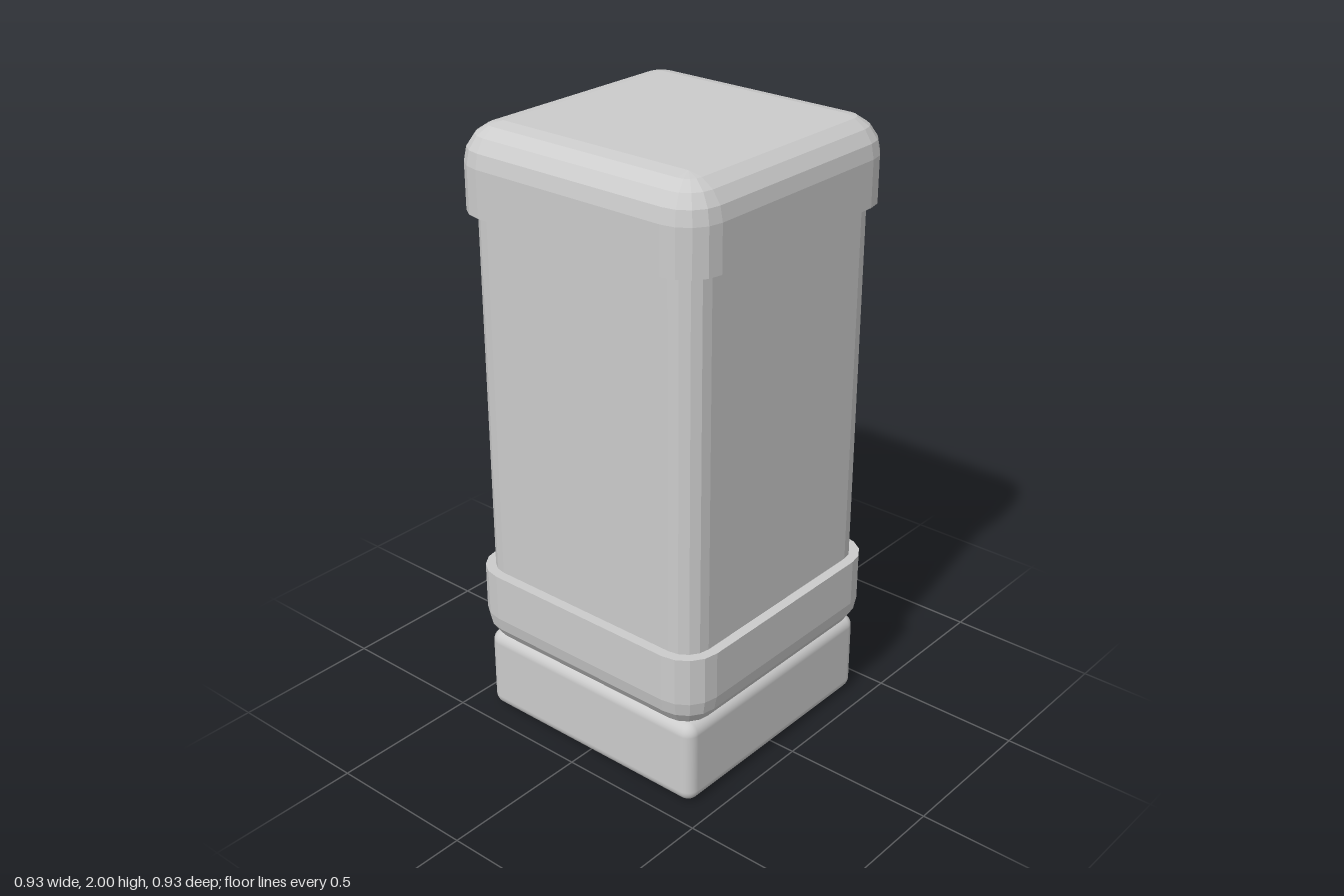
import * as THREE from 'three';
import { RoundedBoxGeometry } from 'three/addons/geometries/RoundedBoxGeometry.js';

const CORE = 0.345; // half distance between the corner centres
const STEPS = 4; // facets per rounded corner

// Outline of a rounded square: corner radius r around the four fixed corner centres.
function ring(y, r) {
  const points = [];
  for (let corner = 0; corner < 4; corner++) {
    const mid = (corner + 0.5) * Math.PI / 2;
    const cx = Math.sign(Math.cos(mid)) * CORE;
    const cz = Math.sign(Math.sin(mid)) * CORE;
    for (let i = 0; i <= STEPS; i++) {
      const a = (corner + i / STEPS) * Math.PI / 2;
      points.push(new THREE.Vector3(cx + r * Math.cos(a), y, cz + r * Math.sin(a)));
    }
  }
  return points;
}

// Closed solid through [y, radius] sections listed from bottom to top.
function loft(sections) {
  const rings = sections.map(([y, r]) => ring(y, r));
  const positions = [];
  const triangle = (a, b, c) => {
    if (new THREE.Triangle(a, b, c).getArea() < 1e-8) return;
    for (const p of [a, b, c]) positions.push(p.x, p.y, p.z);
  };
  const n = rings[0].length;
  const first = rings[0], last = rings[rings.length - 1];
  const bottom = new THREE.Vector3(0, first[0].y, 0);
  const top = new THREE.Vector3(0, last[0].y, 0);
  for (let i = 0; i < n; i++) {
    const j = (i + 1) % n;
    for (let k = 0; k < rings.length - 1; k++) {
      const lo = rings[k], hi = rings[k + 1];
      triangle(lo[i], hi[i], hi[j]);
      triangle(lo[i], hi[j], lo[j]);
    }
    triangle(bottom, first[i], first[j]);
    triangle(top, last[j], last[i]);
  }
  const geometry = new THREE.BufferGeometry();
  geometry.setAttribute('position', new THREE.Float32BufferAttribute(positions, 3));
  geometry.computeVertexNormals();
  return geometry;
}

// Cap sections: straight wall from the rim, then a quarter round to the flat end.
function capSections(rimY, endY) {
  const radius = 0.118;
  const dir = Math.sign(endY - rimY);
  const sections = [[rimY, radius]];
  for (let i = 0; i <= STEPS; i++) {
    const a = i / STEPS * Math.PI / 2;
    sections.push([endY - dir * radius * (1 - Math.sin(a)), radius * Math.cos(a)]);
  }
  return dir > 0 ? sections : sections.reverse();
}

export function createModel() {
  const group = new THREE.Group();
  const faceted = new THREE.MeshStandardMaterial({ color: 0xcccccc, flatShading: true });
  const smooth = new THREE.MeshStandardMaterial({ color: 0xcccccc });
  const add = (name, geometry, material) => {
    const mesh = new THREE.Mesh(geometry, material);
    mesh.name = name;
    group.add(mesh);
    return mesh;
  };

  // Soft-edged foot block
  add('base', new RoundedBoxGeometry(0.86, 0.285, 0.86, 5, 0.04), smooth).position.y = 0.1425;
  // Lower cup, rounded underneath
  add('lowerCup', loft(capSections(0.535, 0.26)), faceted);
  // Tall body with rounded vertical edges
  add('body', loft([[0.45, 0.085], [1.8, 0.085]]), faceted);
  // Upper cap, rounded on top
  add('upperCap', loft(capSections(1.735, 2)), faceted);
  return group;
}
